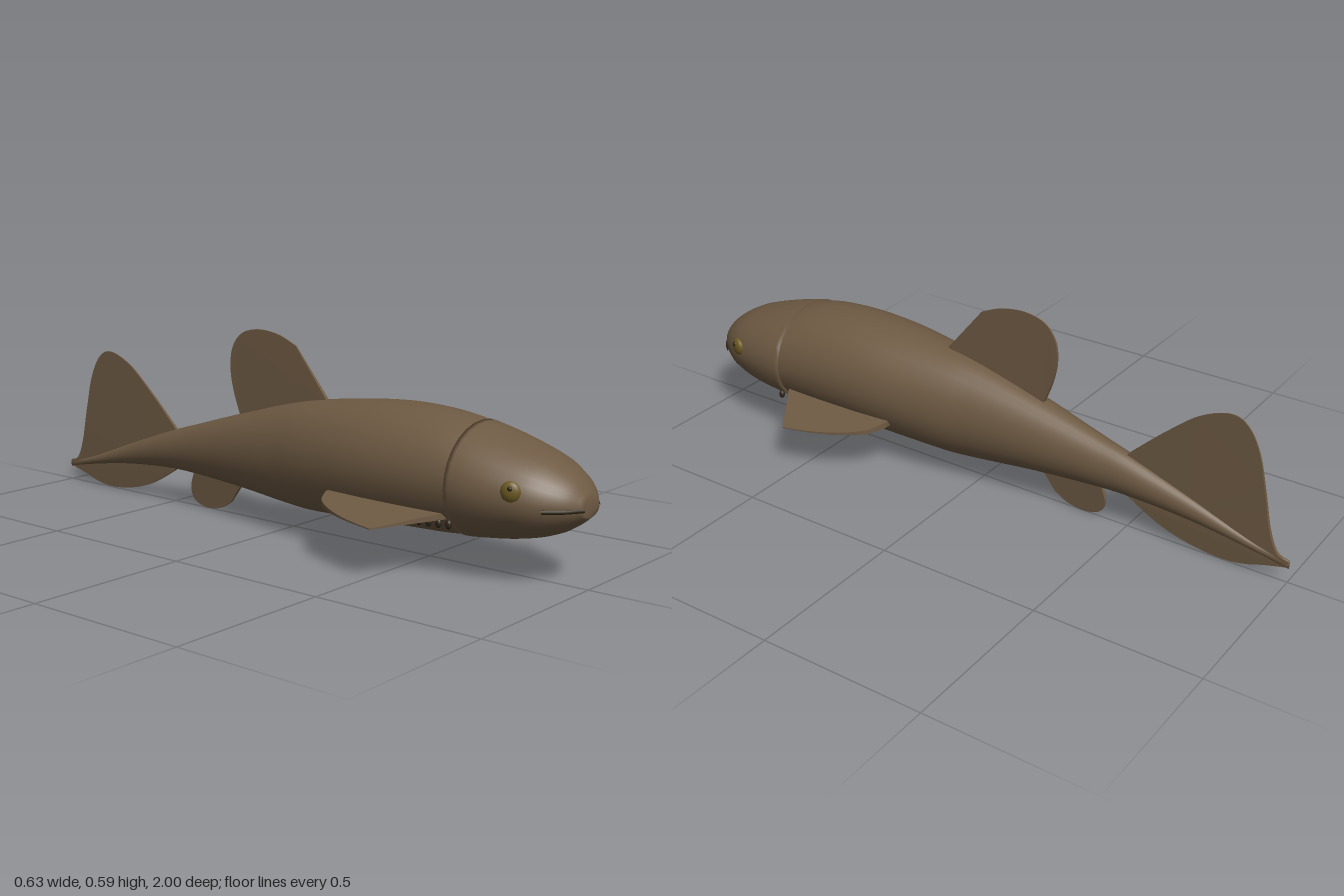
import * as THREE from 'three';

const mat = (name, color, side = THREE.FrontSide) => {
  const m = new THREE.MeshStandardMaterial({ color, side });
  m.name = name;
  return m;
};

// Smooth skin through elliptical sections [z, top, bottom, halfWidth], listed nose to tail
function loft(sections, steps, sides = 28) {
  const pos = [], index = [];
  const mid = new THREE.CatmullRomCurve3(sections.map(([z, t, b]) => new THREE.Vector3(t, b, z)), false, 'centripetal');
  const wide = new THREE.CatmullRomCurve3(sections.map(([z, , , w]) => new THREE.Vector3(w, 0, z)), false, 'centripetal');
  for (let i = 0; i <= steps; i++) {
    const p = mid.getPoint(i / steps), w = wide.getPoint(i / steps).x;
    for (let j = 0; j < sides; j++) {
      const a = (j / sides) * Math.PI * 2;
      pos.push(w * Math.cos(a), (p.x + p.y) / 2 + ((p.x - p.y) / 2) * Math.sin(a), p.z);
    }
  }
  for (let i = 0; i < steps; i++) {
    for (let j = 0; j < sides; j++) {
      const k = (j + 1) % sides, a = i * sides, b = a + sides;
      index.push(a + j, b + j, a + k, a + k, b + j, b + k);
    }
  }
  // end caps
  const last = steps * sides;
  for (let j = 1; j < sides - 1; j++) {
    index.push(0, j, j + 1, last, last + j + 1, last + j);
  }
  const g = new THREE.BufferGeometry();
  g.setAttribute('position', new THREE.Float32BufferAttribute(pos, 3));
  g.setIndex(index);
  g.computeVertexNormals();
  return g;
}

// Outline: a straight leading edge, a curved margin, then closed inside the body
function finShape(start, margin, root) {
  const v = ([x, y]) => new THREE.Vector2(x, y);
  const s = new THREE.Shape();
  s.moveTo(...start);
  s.lineTo(...margin[0]);
  s.splineThru(margin.slice(1).map(v));
  root.forEach((p) => s.lineTo(...p));
  s.closePath();
  return s;
}

// Upright fin drawn in (z, y), thinning from root height to tip height
function uprightFin(shape, rootY, tipY, thick) {
  const g = new THREE.ExtrudeGeometry(shape, { depth: 1, bevelEnabled: false, curveSegments: 24 });
  g.translate(0, 0, -0.5).rotateY(-Math.PI / 2);
  const p = g.attributes.position;
  for (let i = 0; i < p.count; i++) {
    const t = THREE.MathUtils.clamp((p.getY(i) - rootY) / (tipY - rootY), 0, 1);
    p.setX(i, p.getX(i) * THREE.MathUtils.lerp(thick, 0.003, t));
  }
  g.computeVertexNormals();
  return g;
}

// Side fin drawn in (x, -z), drooping and thinning outwards
function sideFin(s) {
  const shape = finShape([s * 0.13, -0.66],
    [[s * 0.317, -0.53], [s * 0.295, -0.44], [s * 0.262, -0.355], [s * 0.215, -0.285], [s * 0.16, -0.255]],
    [[s * 0.1, -0.25]]);
  const g = new THREE.ExtrudeGeometry(shape, { depth: 1, bevelEnabled: false, curveSegments: 20 });
  g.translate(0, 0, -0.5).rotateX(-Math.PI / 2);
  const p = g.attributes.position;
  for (let i = 0; i < p.count; i++) {
    const t = THREE.MathUtils.clamp((Math.abs(p.getX(i)) - 0.15) / 0.167, 0, 1);
    p.setY(i, 0.171 - 0.024 * t + p.getY(i) * THREE.MathUtils.lerp(0.02, 0.003, t));
  }
  g.computeVertexNormals();
  return g;
}

export function createModel() {
  const model = new THREE.Group();
  model.name = 'fish';
  const skin = mat('brown skin', 0x6e5a43);
  const gold = mat('olive gold eye', 0x6e5a24);
  const dark = mat('dark olive', 0x2c2612);
  const gill = mat('gill brown', 0x2e241a);

  const add = (name, geometry, material, parent = model) => {
    const m = new THREE.Mesh(geometry, material);
    m.name = name;
    parent.add(m);
    return m;
  };

  // Head, a shell that just overlaps the body
  add('head', loft([
    [1.0, 0.25, 0.195, 0.042], [0.97, 0.288, 0.17, 0.085], [0.93, 0.318, 0.145, 0.12],
    [0.88, 0.345, 0.126, 0.148], [0.8, 0.373, 0.108, 0.17], [0.72, 0.396, 0.097, 0.181], [0.665, 0.41, 0.091, 0.182],
  ], 24), skin);

  // Body, from inside the head to the tail tip
  add('body', loft([
    [0.7, 0.398, 0.1, 0.174], [0.6, 0.421, 0.089, 0.177], [0.45, 0.432, 0.083, 0.177],
    [0.3, 0.425, 0.078, 0.168], [0.1, 0.4, 0.069, 0.138], [0, 0.38, 0.074, 0.118],
    [-0.2, 0.325, 0.094, 0.086], [-0.4, 0.265, 0.107, 0.057], [-0.5, 0.235, 0.109, 0.046],
    [-0.7, 0.165, 0.096, 0.026], [-0.9, 0.092, 0.066, 0.011], [-1.0, 0.07, 0.045, 0.004],
  ], 48), skin);

  // Fins on the centre line
  add('dorsalFin', uprightFin(finShape([0.14, 0.39],
    [[0.01, 0.55], [-0.06, 0.578], [-0.14, 0.587], [-0.205, 0.57], [-0.242, 0.525], [-0.25, 0.46], [-0.236, 0.39], [-0.21, 0.32]],
    [[-0.2, 0.29], [0.1, 0.36]]), 0.38, 0.587, 0.013), skin);
  add('analFin', uprightFin(finShape([-0.2, 0.11],
    [[-0.255, 0.035], [-0.3, 0.01], [-0.36, 0.002], [-0.41, 0.02], [-0.425, 0.06], [-0.41, 0.11]],
    [[-0.4, 0.14], [-0.22, 0.14]]), 0.1, 0, 0.013), skin);
  add('upperTailFin', uprightFin(finShape([-0.48, 0.225],
    [[-0.5, 0.248], [-0.6, 0.342], [-0.7, 0.424], [-0.79, 0.46], [-0.845, 0.44], [-0.885, 0.37], [-0.912, 0.26], [-0.935, 0.15], [-0.962, 0.085], [-1.0, 0.068]],
    [[-0.99, 0.058], [-0.7, 0.13], [-0.5, 0.18]]), 0.2, 0.46, 0.011), skin);
  add('lowerTailFin', uprightFin(finShape([-0.48, 0.12],
    [[-0.5, 0.102], [-0.6, 0.046], [-0.7, 0.015], [-0.8, 0.004], [-0.87, 0.013], [-0.93, 0.032], [-1.0, 0.05]],
    [[-0.99, 0.06], [-0.7, 0.13], [-0.5, 0.16]]), 0.1, 0, 0.008), skin);

  // Paired parts
  const ball = new THREE.SphereGeometry(1, 16, 12);
  for (const s of [1, -1]) {
    const side = new THREE.Group();
    side.name = s > 0 ? 'leftSide' : 'rightSide';
    model.add(side);

    add('pectoralFin', sideFin(s), skin, side);

    const eye = add('eye', ball, gold, side);
    eye.position.set(s * 0.152, 0.267, 0.852);
    eye.scale.set(0.014, 0.028, 0.027);
    eye.rotation.y = s * -0.3;

    const pupil = add('pupil', ball, dark, side);
    pupil.position.set(s * 0.162, 0.277, 0.856);
    pupil.scale.set(0.006, 0.007, 0.007);

    // Half of the mouth line, wrapped round the snout
    const lip = new THREE.CatmullRomCurve3([[0.037, 1.0], [0.085, 0.968], [0.123, 0.925]]
      .map(([x, z]) => new THREE.Vector3(s * x, 0.219, z)));
    add('mouth', new THREE.TubeGeometry(lip, 10, 0.0055, 8), dark, side);

    // Row of gill openings
    for (let i = 0; i < 7; i++) {
      const g = add('gillOpening', ball, gill, side);
      g.position.set(s * (0.159 - i * 0.0015), 0.152 - i * 0.002, 0.67 - i * 0.033);
      g.scale.set(0.008, 0.013, 0.009);
    }
  }
  return model;
}
